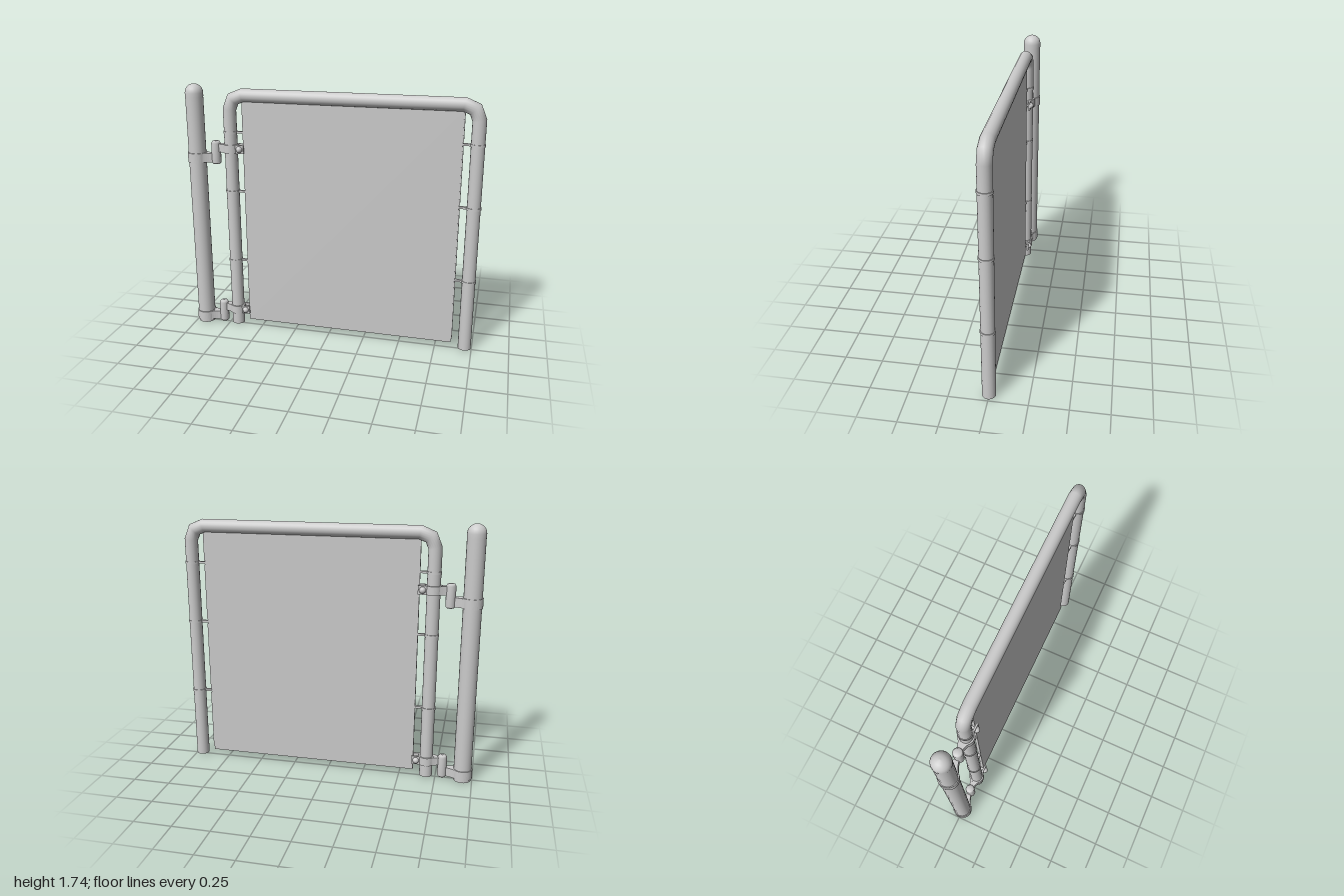
import * as THREE from 'three';

const POST_X = -0.934, LEFT_X = -0.685, RIGHT_X = 0.952, PIN_X = -0.795;
const TUBE_R = 0.044;

export function createModel() {
  const root = new THREE.Group();
  const grey = new THREE.MeshStandardMaterial({ color: 0xcccccc });
  const thin = new THREE.MeshStandardMaterial({ color: 0xcccccc, side: THREE.DoubleSide });

  const add = (parent, name, geo, x = 0, y = 0, z = 0, mat = grey) => {
    const m = new THREE.Mesh(geo, mat);
    m.name = name;
    m.position.set(x, y, z);
    parent.add(m);
    return m;
  };

  // Hollow band around an upright tube
  const band = (outer, inner, h) => {
    const s = new THREE.Shape().absarc(0, 0, outer, 0, Math.PI * 2);
    s.holes.push(new THREE.Path().absarc(0, 0, inner, 0, Math.PI * 2, true));
    return new THREE.ExtrudeGeometry(s, { depth: h, bevelEnabled: false, curveSegments: 24 })
      .rotateX(-Math.PI / 2).translate(0, -h / 2, 0);
  };

  // Flat link whose sides curve inward between two half widths
  const neck = (x0, w0, x1, w1, h) => {
    const mid = x0 + (x1 - x0) * 0.45, w = Math.min(w0, w1);
    const s = new THREE.Shape();
    s.moveTo(x0, -w0);
    s.quadraticCurveTo(mid, -w, x1, -w1);
    s.lineTo(x1, w1);
    s.quadraticCurveTo(mid, w, x0, w0);
    s.closePath();
    return new THREE.ExtrudeGeometry(s, { depth: h, bevelEnabled: false, curveSegments: 6 })
      .rotateX(-Math.PI / 2).translate(0, -h / 2, 0);
  };

  // Round tube swept along points in the XY plane, with mitred joints
  const sweep = (pts, r, sides = 20) => {
    const pos = [], idx = [];
    pts.forEach((p, i) => {
      const a = pts[Math.max(i - 1, 0)], b = pts[Math.min(i + 1, pts.length - 1)];
      const d0 = p.clone().sub(a).normalize(), d1 = b.clone().sub(p).normalize();
      const t = d0.clone().add(d1).normalize();
      const miter = r / Math.max(t.dot(i ? d0 : d1), 0.5);
      for (let k = 0; k < sides; k++) {
        const q = (k / sides) * Math.PI * 2, c = Math.cos(q) * miter;
        pos.push(p.x - t.y * c, p.y + t.x * c, Math.sin(q) * r);
        if (i) {
          const n = (k + 1) % sides, o = (i - 1) * sides, u = i * sides;
          idx.push(o + k, u + k, o + n, o + n, u + k, u + n);
        }
      }
    });
    const g = new THREE.BufferGeometry();
    g.setAttribute('position', new THREE.Float32BufferAttribute(pos, 3));
    g.setIndex(idx);
    g.computeVertexNormals();
    return g;
  };

  // Hinge post with domed cap
  const post = new THREE.Group();
  post.name = 'hingePost';
  root.add(post);
  add(post, 'postTube', new THREE.CylinderGeometry(0.06, 0.06, 1.67, 24, 1, true), POST_X, 0.835, 0, thin);
  const dome = [new THREE.Vector2(0.061, 1.655), new THREE.Vector2(0.061, 1.68)];
  for (let i = 1; i <= 6; i++) {
    const a = (i / 6) * Math.PI / 2;
    dome.push(new THREE.Vector2(0.061 * Math.cos(a), 1.68 + 0.06 * Math.sin(a)));
  }
  add(post, 'postCap', new THREE.LatheGeometry(dome, 24), POST_X, 0, 0, thin);

  // Gate frame: one tube bent over at both top corners
  const path = [new THREE.Vector2(LEFT_X, 0.01)];
  const R = 0.095, top = 1.675;
  for (const [cx, from] of [[LEFT_X + R, Math.PI], [RIGHT_X - R, Math.PI / 2]]) {
    for (let i = 0; i <= 2; i++) {
      const a = from - i * Math.PI / 4;
      path.push(new THREE.Vector2(cx + R * Math.cos(a), top - R + R * Math.sin(a)));
    }
  }
  path.push(new THREE.Vector2(RIGHT_X, 0.01));
  add(root, 'gateFrame', sweep(path, TUBE_R), 0, 0, 0, thin);

  // Infill panel with narrow edge strips between the ties
  const x0 = -0.596, x1 = 0.858, y0 = 0.043, y1 = 1.64;
  add(root, 'infillPanel', new THREE.BoxGeometry(x1 - x0, y1 - y0, 0.02), (x0 + x1) / 2, (y0 + y1) / 2);
  const ties = [0.503, 1.012, 1.425];
  const stops = [y0 + 0.01, ...ties, y1];
  for (let i = 0; i < stops.length - 1; i++) {
    const h = stops[i + 1] - stops[i] - 0.03;
    add(root, 'panelEdgeStrip', new THREE.BoxGeometry(0.007, h, 0.016), x1 + 0.003, (stops[i] + stops[i + 1]) / 2);
  }

  // Panel ties: a thin band on the tube and a short link to the panel
  for (const y of ties) {
    for (const [x, edge] of [[LEFT_X, x0], [RIGHT_X, x1]]) {
      const tie = new THREE.Group();
      tie.name = 'panelTie';
      tie.position.y = y;
      root.add(tie);
      add(tie, 'tieBand', band(0.048, 0.043, 0.016), x);
      const start = x + Math.sign(edge - x) * 0.042;
      add(tie, 'tieLink', new THREE.BoxGeometry(Math.abs(edge - start) + 0.006, 0.014, 0.02), (start + edge) / 2);
    }
  }

  // Hinges: post clamp, pin barrel, frame clamp and clamping bolt
  for (const y of [0.01, 1.2]) {
    const hinge = new THREE.Group();
    hinge.name = 'hinge';
    hinge.position.y = y;
    root.add(hinge);
    add(hinge, 'postClamp', band(0.066, 0.059, 0.066), POST_X, 0.04);
    add(hinge, 'postLink', neck(POST_X + 0.05, 0.042, PIN_X, 0.014, 0.062), 0, 0.04);
    const barrel = [[0, 0], [0.025, 0], [0.032, 0.008], [0.032, 0.143], [0.024, 0.157], [0, 0.157]]
      .map(([r, h]) => new THREE.Vector2(r, h));
    add(hinge, 'pinBarrel', new THREE.LatheGeometry(barrel, 16), PIN_X);
    const arm = 0.113;
    add(hinge, 'frameLink', neck(PIN_X, 0.014, LEFT_X - 0.036, 0.036, 0.056), 0, arm);
    add(hinge, 'frameClamp', band(0.053, 0.043, 0.058), LEFT_X, arm);
    for (const s of [1, -1]) {
      add(hinge, 'clampTab', new THREE.BoxGeometry(0.068, 0.058, 0.012), -0.621, arm, s * 0.027);
      const head = add(hinge, 'boltHead', new THREE.SphereGeometry(0.022, 16, 6, 0, Math.PI * 2, 0, Math.PI / 2), -0.617, arm, s * 0.033);
      head.rotation.x = s * Math.PI / 2;
    }
    add(hinge, 'boltShank', new THREE.CylinderGeometry(0.011, 0.011, 0.066, 12).rotateX(Math.PI / 2), -0.617, arm);
  }

  return root;
}
